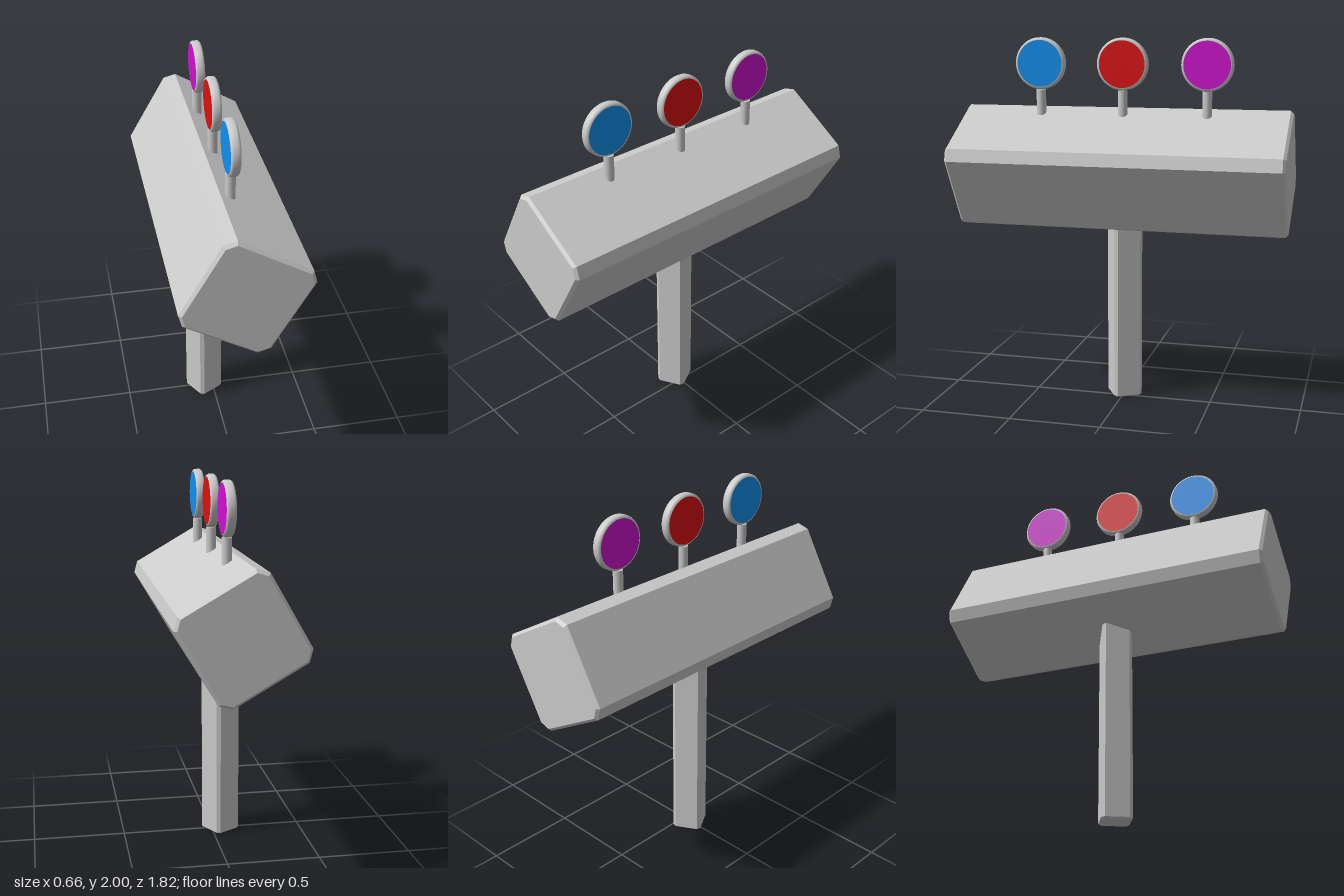
import * as THREE from 'three';

const material = (color) => new THREE.MeshStandardMaterial({ color });
const grey = material(0xcccccc);

// Square bar along z, centred, with cut long edges and bevelled ends
function chamferedBar(half, cut, length, bevel) {
  const k = half - cut;
  const shape = new THREE.Shape([
    [half, -k], [half, k], [k, half], [-k, half],
    [-half, k], [-half, -k], [-k, -half], [k, -half],
  ].map(([x, y]) => new THREE.Vector2(x, y)));
  const geometry = new THREE.ExtrudeGeometry(shape, {
    depth: length - 2 * bevel,
    bevelEnabled: true,
    bevelThickness: bevel,
    bevelSize: bevel,
    bevelOffset: -bevel,
    bevelSegments: 1,
  });
  return geometry.translate(0, 0, bevel - length / 2);
}

function addMesh(parent, name, geometry, mat) {
  const mesh = new THREE.Mesh(geometry, mat);
  mesh.name = name;
  parent.add(mesh);
  return mesh;
}

// Round lamp facing both sides, on a short stem
function createLamp(name, color) {
  const lamp = new THREE.Group();
  lamp.name = name;

  const stem = new THREE.CylinderGeometry(0.026, 0.026, 0.22, 20);
  addMesh(lamp, 'stem', stem, grey).position.y = -0.25;

  // Rim with a bevelled edge, turned so its axis lies along x
  const profile = [
    [0, -0.023], [0.126, -0.023], [0.126, -0.025], [0.134, -0.022], [0.14, -0.012],
    [0.14, 0.012], [0.134, 0.022], [0.126, 0.025], [0.126, 0.023], [0, 0.023],
  ].map(([r, y]) => new THREE.Vector2(r, y));
  const rim = new THREE.LatheGeometry(profile, 40).rotateZ(-Math.PI / 2);
  addMesh(lamp, 'rim', rim, grey);

  // Coloured faces on both sides
  const paint = material(color);
  for (const side of [1, -1]) {
    const face = new THREE.CircleGeometry(0.126, 40).rotateY(side * Math.PI / 2);
    addMesh(lamp, side > 0 ? 'leftLens' : 'rightLens', face, paint).position.x = side * 0.0245;
  }
  return lamp;
}

export function createModel() {
  const model = new THREE.Group();
  model.name = 'lampSign';

  // Upright post, turned about its axis
  const post = addMesh(model, 'post', chamferedBar(0.081, 0.017, 1.2, 0.008).rotateX(-Math.PI / 2), grey);
  post.position.set(-0.05, 0.6, 0);
  post.rotation.y = Math.PI / 6;

  // Long tilted head
  const head = addMesh(model, 'head', chamferedBar(0.26, 0.05, 1.82, 0.015), grey);
  head.position.set(0, 1.295, 0);
  head.rotation.z = -Math.PI / 6;

  // Row of lamps
  const lamps = [
    ['frontLamp', 0x1090ee, 0.46],
    ['middleLamp', 0xdd1010, 0],
    ['backLamp', 0xd010d0, -0.46],
  ];
  for (const [name, color, z] of lamps) {
    const lamp = createLamp(name, color);
    lamp.position.set(0.002, 1.86, z);
    model.add(lamp);
  }
  return model;
}
